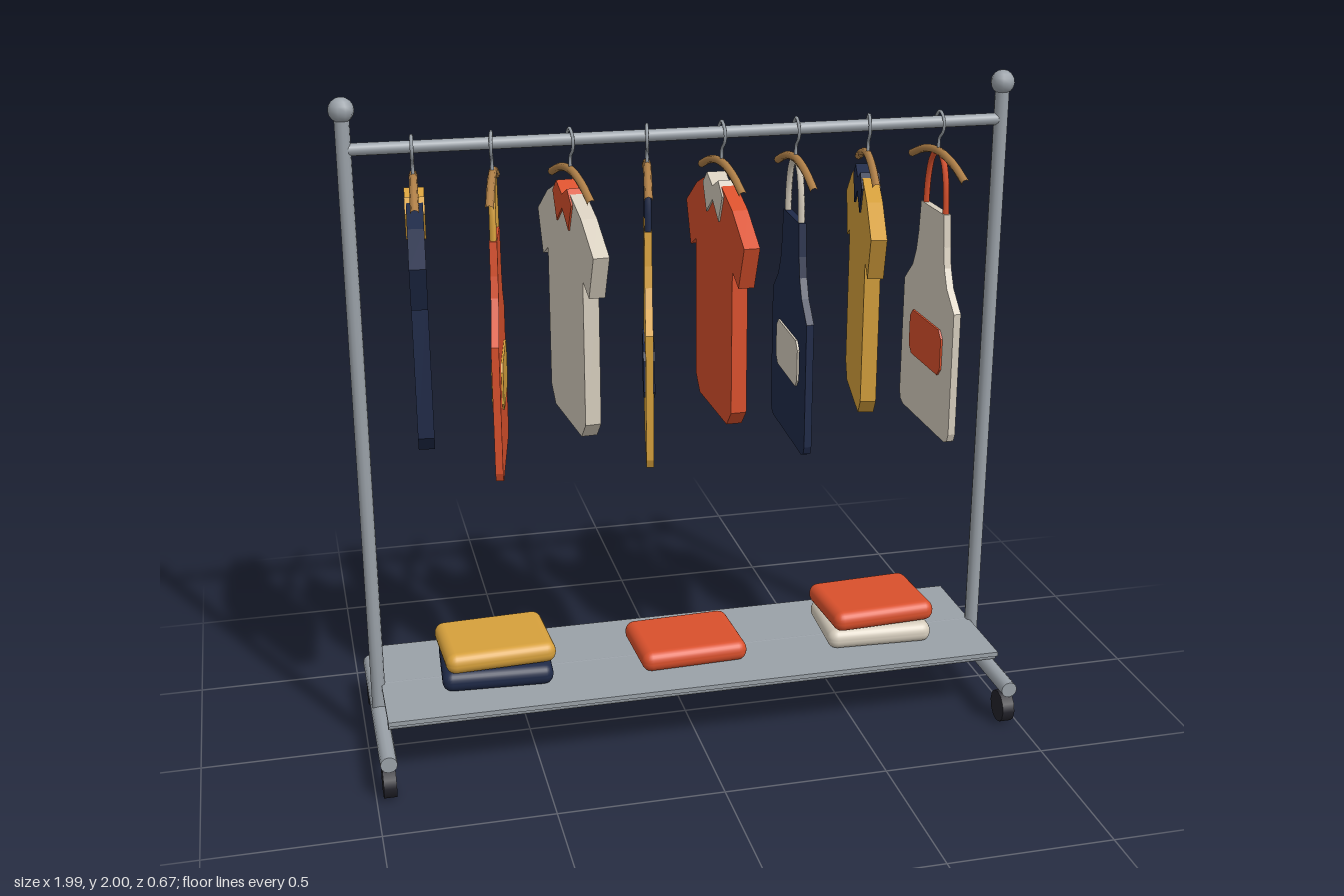
import * as THREE from 'three';
import { RoundedBoxGeometry } from 'three/addons/geometries/RoundedBoxGeometry.js';

const material = (name, color) => {
  const m = new THREE.MeshStandardMaterial({ color });
  m.name = name;
  return m;
};

export function createModel() {
  const metal = material('grey metal', 0x9aa1a8);
  const rubber = material('black rubber', 0x23232b);
  const wood = material('wood', 0xb08048);
  const navy = material('navy cloth', 0x1f2a48);
  const red = material('red cloth', 0xd9502c);
  const yellow = material('yellow cloth', 0xd6a03c);
  const beige = material('beige cloth', 0xd6cdbd);

  const model = new THREE.Group();
  model.name = 'clothesRack';

  function add(parent, name, geometry, mat, x = 0, y = 0, z = 0) {
    const mesh = new THREE.Mesh(geometry, mat);
    mesh.name = name;
    mesh.position.set(x, y, z);
    parent.add(mesh);
    return mesh;
  }
  // Round bar along one axis
  function bar(name, axis, r, length, x, y, z, mat = metal) {
    const g = new THREE.CylinderGeometry(r, r, length, 12);
    if (axis === 'x') g.rotateZ(Math.PI / 2);
    if (axis === 'z') g.rotateX(Math.PI / 2);
    return add(model, name, g, mat, x, y, z);
  }
  // Slab in the zy plane, mirrored from half an outline, centred on x = 0
  function slab(half, thickness) {
    const other = half.filter(p => p[0] > 0).map(([z, y]) => [-z, y]).reverse();
    const shape = new THREE.Shape([...half, ...other].map(p => new THREE.Vector2(...p)));
    const g = new THREE.ExtrudeGeometry(shape, { depth: thickness, bevelEnabled: false });
    g.translate(0, 0, -thickness / 2);
    g.rotateY(Math.PI / 2);
    return g;
  }
  // Tube through [z, y] points
  function tube(points, r, segments, sides) {
    const curve = new THREE.CatmullRomCurve3(points.map(([z, y]) => new THREE.Vector3(0, y, z)));
    return new THREE.TubeGeometry(curve, segments, r, sides);
  }

  // Frame: posts, feet and casters
  for (const s of [-1, 1]) {
    const x = s * 0.96;
    bar('post', 'y', 0.021, 1.83, x, 1.035, 0);
    add(model, 'postBall', new THREE.SphereGeometry(0.036, 10, 8), metal, x, 1.964, 0);
    bar('foot', 'z', 0.025, 0.66, x, 0.125, 0);
    for (const z of [-0.287, 0.287]) {
      bar('casterStem', 'y', 0.012, 0.06, x, 0.09, z);
      bar('wheel', 'x', 0.05, 0.038, x, 0.05, z, rubber);
    }
  }
  bar('topRail', 'x', 0.018, 1.92, 0, 1.855, 0);

  // Shelf on its rails
  add(model, 'shelf', new THREE.BoxGeometry(1.9, 0.014, 0.5), metal, 0, 0.211, 0);
  bar('shelfCentreRail', 'x', 0.018, 1.92, 0, 0.201, 0);
  for (const z of [-0.222, 0.222]) bar('shelfSideRail', 'x', 0.012, 1.9, 0, 0.194, z);

  // Folded clothes: x, layer, turn, colour
  const folded = [
    [-0.6, 0, -0.06, navy], [-0.6, 1, 0.05, yellow],
    [0, 0, 0.04, red],
    [0.61, 0, -0.05, beige], [0.61, 1, 0.06, red],
  ];
  for (const [x, layer, turn, mat] of folded) {
    const g = new RoundedBoxGeometry(0.335, 0.065, 0.265, 3, 0.03);
    add(model, 'foldedCloth', g, mat, x, 0.25 + layer * 0.066, 0).rotation.y = turn;
  }

  // Outlines shared by the garments
  const shirtGeometry = slab([
    [0, 1.69], [0.075, 1.715], [0.19, 1.67], [0.312, 1.59], [0.26, 1.463],
    [0.197, 1.495], [0.197, 1.07], [0.15, 1.02],
  ], 0.046);
  const collarGeometry = slab([
    [0, 1.7], [0.06, 1.728], [0.105, 1.69], [0.065, 1.61], [0, 1.66],
  ], 0.056);
  const apronGeometry = slab([
    [0, 1.597], [0.095, 1.597], [0.105, 1.5], [0.118, 1.44], [0.145, 1.385], [0.21, 1.325],
    [0.213, 0.95], [0.203, 0.925], [0.18, 0.915],
  ], 0.022);
  const pocketGeometry = slab([
    [0, 1.248], [0.11, 1.248], [0.132, 1.225], [0.132, 1.13], [0.11, 1.107], [0, 1.107],
  ], 0.034);
  const strapGeometry = tube(
    [[0.082, 1.58], [0.072, 1.68], [0.045, 1.745], [0, 1.77], [-0.045, 1.745], [-0.072, 1.68], [-0.082, 1.58]],
    0.01, 20, 6);
  const hangerGeometry = tube(
    [[0.22, 1.718], [0.12, 1.752], [0, 1.768], [-0.12, 1.752], [-0.22, 1.718]], 0.012, 12, 8);
  const hookGeometry = tube(
    [[0, 1.765], [0, 1.805], [0.03, 1.832], [0.035, 1.86], [0, 1.886], [-0.035, 1.862], [-0.03, 1.838]],
    0.005, 18, 6);

  // Hanging garments: x, turn, main colour, trim colour; shirts and aprons alternate
  const garments = [
    [-0.775, -0.09, navy, yellow], [-0.555, -0.18, red, yellow],
    [-0.333, 0.08, beige, red], [-0.112, -0.2, yellow, navy],
    [0.108, 0.02, red, beige], [0.33, -0.05, navy, beige],
    [0.55, -0.21, yellow, navy], [0.77, 0, beige, red],
  ];
  garments.forEach(([x, turn, main, trim], i) => {
    const isShirt = i % 2 === 0;
    const group = new THREE.Group();
    group.name = isShirt ? 'hangingShirt' : 'hangingApron';
    group.position.x = x;
    group.rotation.y = turn;
    model.add(group);
    add(group, 'hanger', hangerGeometry, wood);
    add(group, 'hook', hookGeometry, metal);
    if (isShirt) {
      add(group, 'shirt', shirtGeometry, main);
      add(group, 'collar', collarGeometry, trim);
    } else {
      add(group, 'apron', apronGeometry, main);
      add(group, 'pocket', pocketGeometry, trim);
      add(group, 'neckStrap', strapGeometry, trim);
    }
  });

  return model;
}
